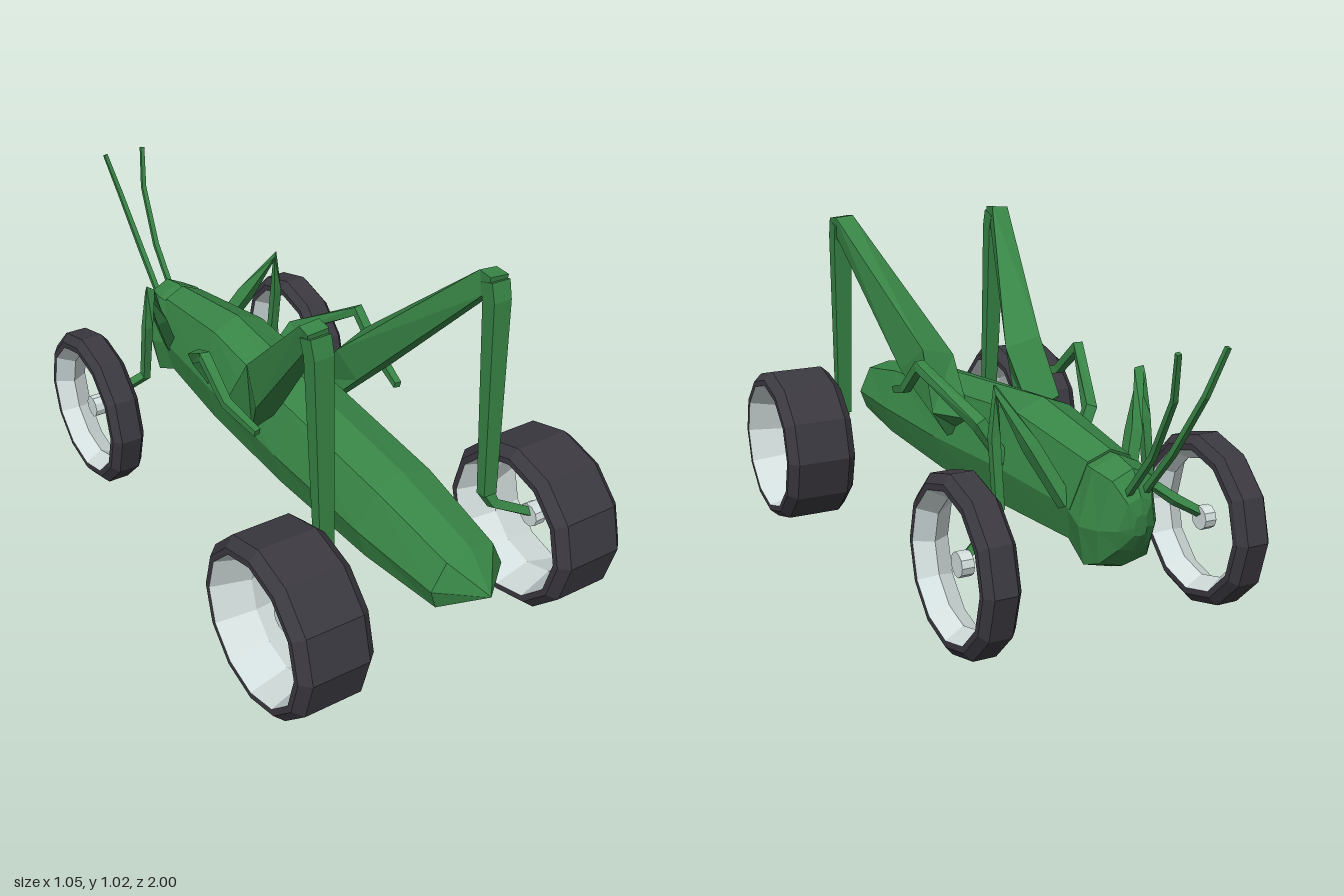
import * as THREE from 'three';

const V = (x, y, z) => new THREE.Vector3(x, y, z);
const mat = (name, color) => {
  const m = new THREE.MeshStandardMaterial({ color, flatShading: true });
  m.name = name;
  return m;
};

// Skin a list of equal rings, close both ends, and turn the faces outward
function loft(rings) {
  const tris = [];
  const n = rings[0].length;
  for (let i = 0; i < rings.length - 1; i++) {
    for (let j = 0; j < n; j++) {
      const k = (j + 1) % n;
      const [a, b, c, d] = [rings[i][j], rings[i][k], rings[i + 1][k], rings[i + 1][j]];
      tris.push([a, b, c], [a, c, d]);
    }
  }
  const last = rings[rings.length - 1];
  for (let j = 1; j < n - 1; j++) {
    tris.push([rings[0][0], rings[0][j + 1], rings[0][j]], [last[0], last[j], last[j + 1]]);
  }
  let volume = 0;
  const o = rings[0][0];
  for (const [a, b, c] of tris) {
    volume += a.clone().sub(o).dot(b.clone().sub(o).cross(c.clone().sub(o)));
  }
  const points = tris.flatMap(([a, b, c]) => (volume < 0 ? [a, c, b] : [a, b, c]));
  const g = new THREE.BufferGeometry().setFromPoints(points);
  g.computeVertexNormals();
  return g;
}

// Eight-sided body section; the top and bottom may sit at different z
function section([zTop, zBottom, top, bottom, w]) {
  const half = [[0, 1], [0.65, 0.9], [1, 0.42], [0.82, 0.07], [0, 0]];
  const pt = (x, f) => V(x * w, bottom + f * (top - bottom), zBottom + f * (zTop - zBottom));
  return [
    ...half.map(([x, f]) => pt(x, f)),
    ...half.slice(1, 4).reverse().map(([x, f]) => pt(-x, f)),
  ];
}

// Four-sided limb; each path entry is [x, y, z, halfWidth, halfDepth]
function limb(path, s) {
  const pts = path.map((p) => V(p[0] * s, p[1], p[2]));
  return loft(pts.map((p, i) => {
    const t = V(0, 0, 0);
    if (i > 0) t.add(p.clone().sub(pts[i - 1]).normalize());
    if (i < pts.length - 1) t.add(pts[i + 1].clone().sub(p).normalize());
    t.normalize();
    const n = t.clone().cross(V(1, 0, 0)).normalize();
    const b = t.clone().cross(n);
    const [, , , w, d = w] = path[i];
    return [[1, 1], [-1, 1], [-1, -1], [1, -1]].map(([u, v]) =>
      p.clone().addScaledVector(b, u * w).addScaledVector(n, v * d));
  }));
}

export function createModel() {
  const green = mat('leaf green', 0x388546);
  const black = mat('tyre black', 0x3b3940);
  const silver = mat('rim silver', 0xd3dfde);
  const model = new THREE.Group();
  const add = (name, geometry, material, parent = model) => {
    const mesh = new THREE.Mesh(geometry, material);
    mesh.name = name;
    parent.add(mesh);
    return mesh;
  };

  // Long body, tail at +z
  add('body', loft([
    [1.0, 1.0, 0.357, 0.353, 0.002],
    [0.91, 0.90, 0.45, 0.28, 0.115],
    [0.62, 0.62, 0.51, 0.262, 0.14],
    [0.2, 0.2, 0.55, 0.252, 0.145],
    [-0.24, -0.2, 0.593, 0.253, 0.133],
    [-0.6, -0.54, 0.54, 0.265, 0.1],
  ].map(section)), green);

  // Head with a chin that hangs below the body
  add('head', loft([
    [-0.57, -0.5, 0.53, 0.275, 0.097],
    [-0.63, -0.62, 0.536, 0.22, 0.108],
    [-0.71, -0.67, 0.52, 0.24, 0.09],
    [-0.75, -0.72, 0.455, 0.30, 0.055],
    [-0.757, -0.75, 0.41, 0.35, 0.02],
  ].map(section)), green);

  const antenna = [
    [0.025, 0.45, -0.72, 0.008], [0.029, 0.59, -0.84, 0.008],
    [0.045, 0.76, -0.945, 0.007], [0.069, 0.885, -0.99, 0.006],
  ];
  const frontLeg = [
    [0.09, 0.38, -0.53, 0.017, 0.02], [0.16, 0.53, -0.46, 0.017, 0.022],
    [0.225, 0.675, -0.385, 0.014], [0.236, 0.55, -0.395, 0.013],
    [0.238, 0.36, -0.425, 0.013], [0.3, 0.31, -0.465, 0.013], [0.385, 0.26, -0.5, 0.011],
  ];
  const middleLeg = [
    [0.1, 0.39, -0.225, 0.016, 0.016], [0.18, 0.525, -0.19, 0.017, 0.018],
    [0.265, 0.655, 0.025, 0.015], [0.262, 0.56, 0.14, 0.013], [0.24, 0.525, 0.27, 0.01],
  ];
  const shin = [
    [0.277, 1.0, 0.605, 0.03, 0.025], [0.276, 0.95, 0.62, 0.029, 0.024],
    [0.272, 0.36, 0.655, 0.022, 0.016],
  ];
  const foot = [
    [0.272, 0.365, 0.65, 0.018, 0.015], [0.29, 0.325, 0.665, 0.014], [0.42, 0.262, 0.7, 0.012],
  ];
  // Jumping thigh: hip end, widest part, then knee
  const thigh = [
    [[0.1, 0.42, 0.1], [0.15, 0.41, 0.09], [0.215, 0.5, 0.05], [0.1, 0.47, 0.03]],
    [[0.13, 0.55, 0.22], [0.232, 0.59, 0.25], [0.2, 0.67, 0.15], [0.09, 0.64, 0.17]],
    [[0.25, 0.96, 0.595], [0.3, 0.965, 0.6], [0.305, 1.02, 0.575], [0.248, 1.025, 0.575]],
    [[0.25, 0.975, 0.615], [0.305, 0.975, 0.615], [0.309, 1.015, 0.62], [0.248, 1.02, 0.62]],
  ];

  // Twelve-sided wheel with a chamfered tyre, a hollow rim and a floating hub
  function wheel(name, x, z, w, c) {
    const g = new THREE.Group();
    g.name = name;
    const lathe = (pts) => new THREE.LatheGeometry(pts.map((p) => new THREE.Vector2(...p)), 12).rotateZ(Math.PI / 2);
    add('tyre', lathe([[0.207, -w], [0.225, -w], [0.25, -w + c], [0.25, w - c], [0.225, w], [0.207, w]]), black, g);
    add('rim', lathe([[0.207, w], [0.175, 0], [0.207, -w]]), silver, g);
    add('hub', new THREE.CylinderGeometry(0.035, 0.035, 0.036, 10).rotateZ(Math.PI / 2), silver, g);
    g.position.set(x, 0.262, z);
    model.add(g);
    return g;
  }

  for (const s of [1, -1]) {
    const side = s > 0 ? 'left' : 'right';
    add(`${side}Antenna`, limb(antenna, s), green);
    add(`${side}FrontLeg`, limb(frontLeg, s), green);
    add(`${side}MiddleLeg`, limb(middleLeg, s), green);
    add(`${side}Shin`, limb(shin, s), green);
    add(`${side}Foot`, limb(foot, s), green);
    add(`${side}Thigh`, loft(thigh.map((r) => r.map(([x, y, z]) => V(x * s, y, z)))), green);
    wheel(`${side}TailWheel`, 0.415 * s, 0.7, 0.112, 0.028);
    wheel(`${side}HeadWheel`, 0.38 * s, -0.5, 0.053, 0.02).position.y = 0.255;
  }
  return model;
}
